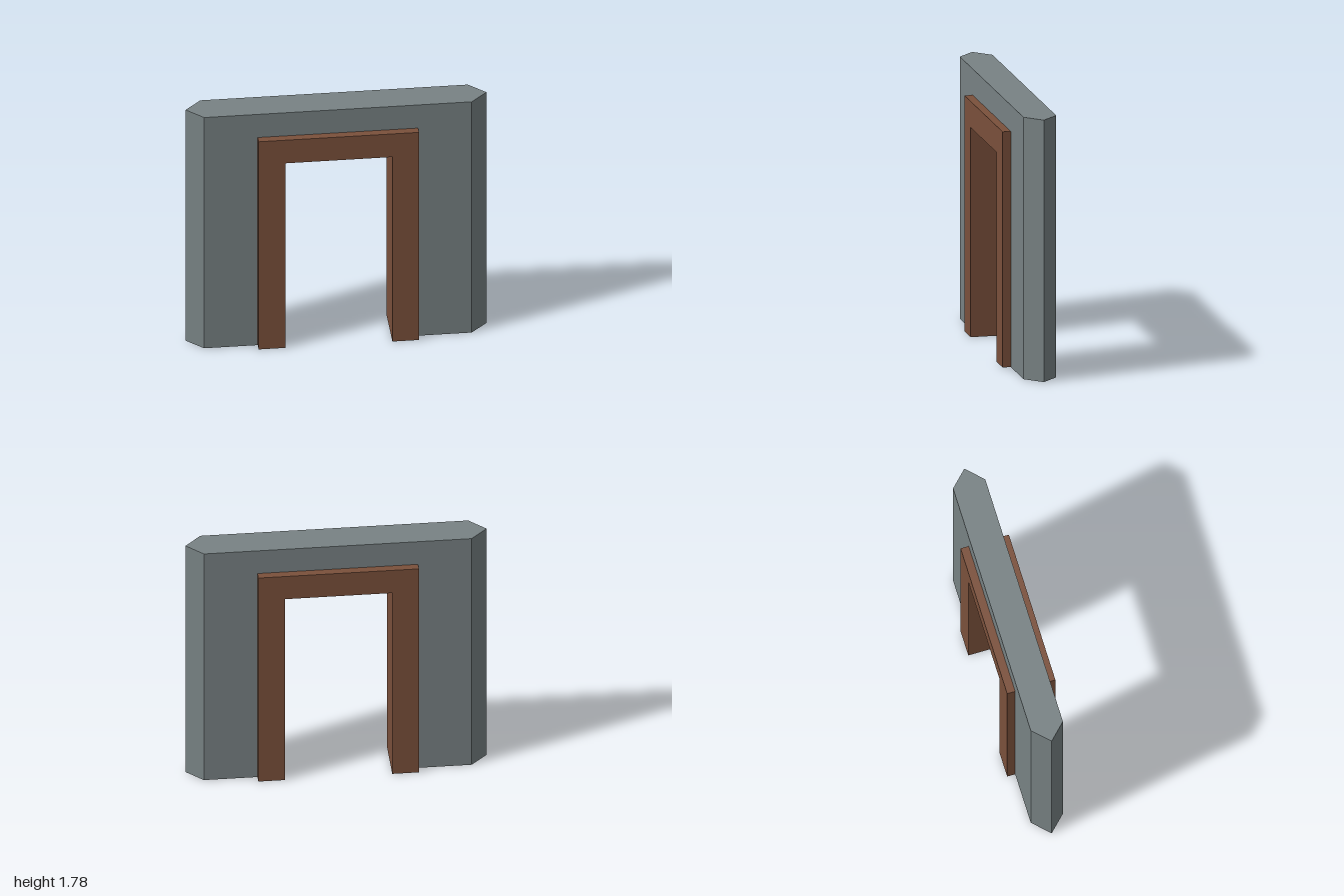
import * as THREE from 'three';

const HEIGHT = 1.778, WALL_DEPTH = 0.222, FRAME_DEPTH = 0.333;
const FRAME_X = 0.533, FRAME_TOP = 1.6, DOOR_X = 0.356, DOOR_TOP = 1.422;
const SOLE = 0.002;

// Upside-down U outline, extruded and centred on z = 0
function archGeometry(outerX, outerY, innerX, innerY, baseY, depth, steps) {
  const outline = new THREE.Shape([
    [-outerX, baseY], [-innerX, baseY], [-innerX, innerY], [innerX, innerY],
    [innerX, baseY], [outerX, baseY], [outerX, outerY], [-outerX, outerY],
  ].map(([x, y]) => new THREE.Vector2(x, y)));
  const geometry = new THREE.ExtrudeGeometry(outline, { depth, steps, bevelEnabled: false });
  return geometry.translate(0, 0, -depth / 2);
}

export function createModel() {
  const stone = new THREE.MeshStandardMaterial({ name: 'grey stone', color: 0x788284 });
  const wood = new THREE.MeshStandardMaterial({ name: 'brown wood', color: 0x7a503b });
  const model = new THREE.Group();
  model.name = 'doorwayWall';

  const add = (name, geometry, material) => {
    const mesh = new THREE.Mesh(geometry, material);
    mesh.name = name;
    model.add(mesh);
    return mesh;
  };

  // Wall: the front and back corners are pulled in so each end comes to a vertical ridge
  const wall = archGeometry(1, HEIGHT, FRAME_X, FRAME_TOP, 0, WALL_DEPTH, 2);
  const p = wall.attributes.position;
  for (let i = 0; i < p.count; i++) {
    if (Math.abs(p.getX(i)) > 0.99 && Math.abs(p.getZ(i)) > 0.05) {
      p.setX(i, Math.sign(p.getX(i)) * 0.889);
    }
  }
  wall.computeVertexNormals();
  add('wall', wall, stone);

  // Door frame, standing proud of the wall on both sides
  add('doorFrame', archGeometry(FRAME_X, FRAME_TOP, DOOR_X, DOOR_TOP, SOLE, FRAME_DEPTH, 1), wood);

  // Thin stone soles under the frame posts
  for (const side of [-1, 1]) {
    const sole = add(side > 0 ? 'leftPostSole' : 'rightPostSole',
      new THREE.BoxGeometry(FRAME_X - DOOR_X, SOLE, FRAME_DEPTH), stone);
    sole.position.set(side * (FRAME_X + DOOR_X) / 2, SOLE / 2, 0);
  }
  return model;
}
